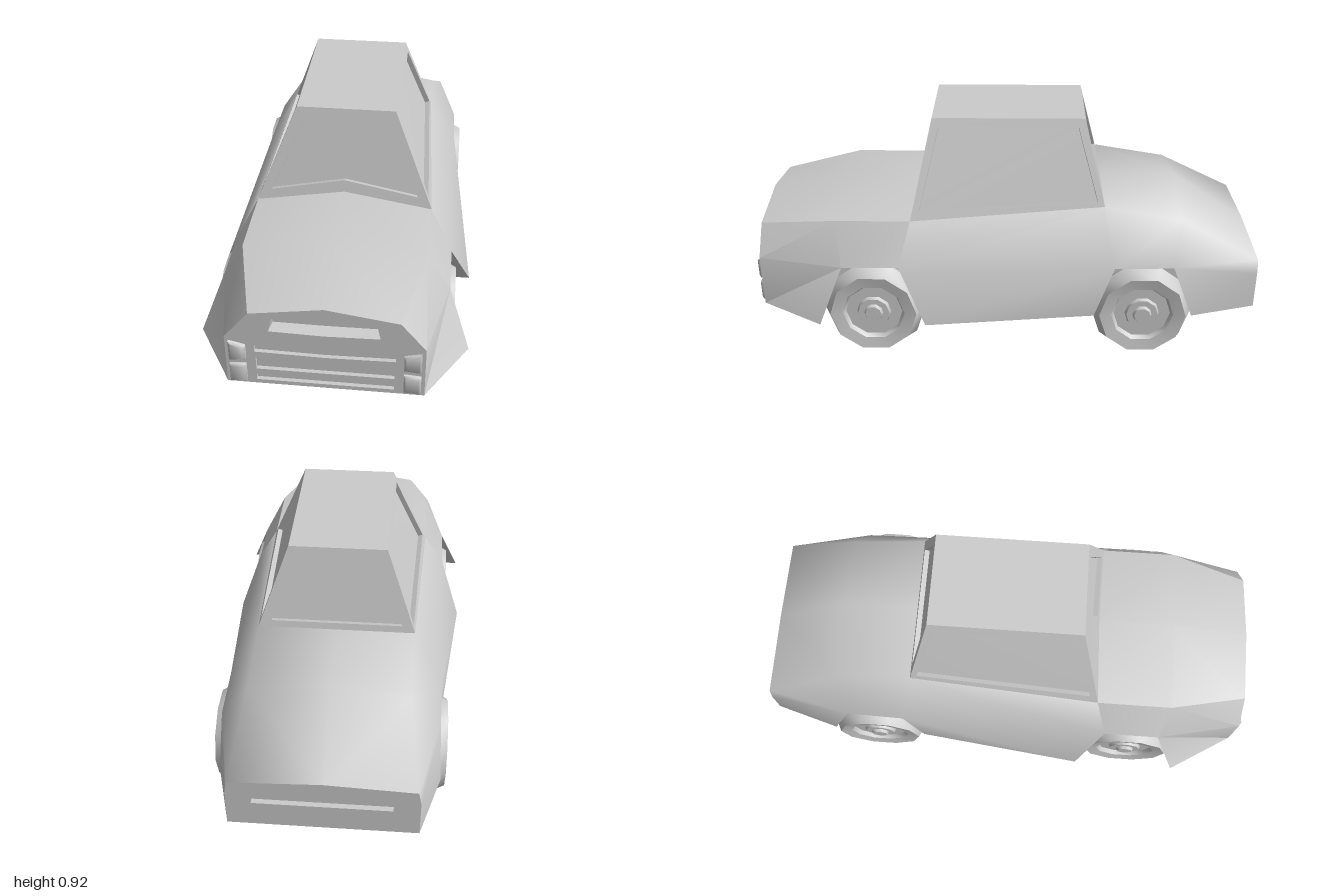
import * as THREE from 'three';
import { toCreasedNormals } from 'three/addons/utils/BufferGeometryUtils.js';

const material = new THREE.MeshStandardMaterial({ color: 0xcccccc, side: THREE.DoubleSide });
const V = (x, y, z) => new THREE.Vector3(x, y, z);

// Surface helpers: each returns a list of triangles, corners counter-clockwise
const fan = (p) => p.slice(2).map((c, i) => [p[0], p[i + 1], c]);
const ring = (a, b, skip = -1) => a.flatMap((p, i) => {
  const j = (i + 1) % a.length;
  return i === skip ? [] : fan([p, a[j], b[j], b[i]]);
});
const mirrored = (tris) => tris.map((t) => t.map((p) => V(-p.x, p.y, p.z)).reverse());
const both = (tris) => [...tris, ...mirrored(tris)];

function add(parent, name, geometry) {
  const mesh = new THREE.Mesh(geometry, material);
  mesh.name = name;
  parent.add(mesh);
  return mesh;
}

function addSurface(parent, name, tris, crease = 0.5) {
  const geometry = new THREE.BufferGeometry().setFromPoints(tris.flat());
  return add(parent, name, toCreasedNormals(geometry, crease));
}

// Body stations from nose to tail: sill, waist, shoulder, centre line
const stations = [
  [V(0.348, 0.18, 0.985), V(0.348, 0.39, 0.985), V(0.26, 0.5, 0.985), V(0, 0.54, 0.985)],
  [V(0.5, 0.18, 0.735), V(0.42, 0.39, 0.65), V(0.335, 0.55, 0.68), V(0, 0.6, 0.68)],
  [V(0.5, 0.18, 0.325), V(0.42, 0.39, 0.43), V(0.335, 0.55, 0.385), V(0, 0.6, 0.374)],
  [V(0.425, 0.18, -0.335), V(0.415, 0.39, -0.41), V(0.3, 0.6, -0.37), V(0, 0.6, -0.37)],
  [V(0.42, 0.18, -0.72), V(0.41, 0.39, -0.64), V(0.3, 0.55, -0.67), V(0, 0.6, -0.68)],
  [V(0.345, 0.18, -0.98), V(0.345, 0.33, -0.98), V(0.335, 0.385, -0.98), V(0, 0.4, -0.98)],
];
const archSpans = [1, 3];
const wellX = 0.31;
const inward = (p) => V(wellX, p.y, p.z);

function bodySides(from, to) {
  const tris = [];
  for (let i = from; i < to; i++) {
    const [a, b] = [stations[i], stations[i + 1]];
    for (let r = archSpans.includes(i) ? 1 : 0; r < 3; r++) {
      tris.push(...fan([a[r], b[r], b[r + 1], a[r + 1]]));
    }
  }
  return both(tris);
}

function addBody(car) {
  addSurface(car, 'frontBody', bodySides(0, 2));
  addSurface(car, 'rearBody', bodySides(2, 5), 1.3);

  const tail = stations[5];
  addSurface(car, 'tailPanel', both(fan([tail[3], tail[2], tail[1], tail[0], V(0, 0.18, -0.98)])));

  // Wheel wells
  const wells = archSpans.flatMap((i) => {
    const [a, b] = [stations[i], stations[i + 1]];
    const opening = [a[0], b[0], b[1], a[1]];
    const inner = opening.map(inward);
    return [...ring(opening, inner, 0), ...fan(inner)];
  });
  addSurface(car, 'wheelWells', both(wells));

  // Floor, notched at the wheels
  const edge = stations.flatMap((s, i) => {
    if (archSpans.includes(i)) return [s[0], inward(s[0])];
    return archSpans.includes(i - 1) ? [inward(s[0]), s[0]] : [s[0]];
  });
  const floor = [];
  for (let i = 0; i < edge.length - 1; i++) {
    const [p, q] = [edge[i], edge[i + 1]];
    if (p.z > q.z) floor.push(...fan([V(0, 0.18, p.z), V(0, 0.18, q.z), q, p]));
  }
  addSurface(car, 'floor', both(floor));
}

// Nose panel with sunken air intake and grille slots
function addNose(car) {
  const z = 0.985;
  const half = stations[0];
  const outline = [half[0], half[1], half[2], half[3], V(-0.26, 0.5, z), V(-0.348, 0.39, z), V(-0.348, 0.18, z)];
  const shape = new THREE.Shape(outline.map((p) => new THREE.Vector2(p.x, p.y)));
  const slot = (w, y0, y1, sag, depth) => {
    const mouth = [V(0, y0 - sag, z), V(w, y0, z), V(w, y1, z), V(0, y1 - sag, z), V(-w, y1, z), V(-w, y0, z)];
    return [mouth, mouth.map((p) => V(p.x, p.y, z - depth))];
  };
  const intake = [
    [V(0, 0.422, z), V(0.192, 0.427, z), V(0.18, 0.483, z), V(-0.18, 0.483, z), V(-0.192, 0.427, z)],
    [V(0, 0.434, z - 0.04), V(0.183, 0.436, z - 0.04), V(0.174, 0.471, z - 0.04),
      V(-0.174, 0.471, z - 0.04), V(-0.183, 0.436, z - 0.04)],
  ];
  const sockets = [intake, slot(0.245, 0.328, 0.356, 0.005, 0.015),
    slot(0.242, 0.248, 0.301, 0, 0.015), slot(0.242, 0.197, 0.223, 0, 0.015)];
  for (const [mouth] of sockets) {
    shape.holes.push(new THREE.Path(mouth.map((p) => new THREE.Vector2(p.x, p.y))));
  }
  add(car, 'nosePanel', new THREE.ShapeGeometry(shape).translate(0, 0, z));
  addSurface(car, 'grille', sockets.flatMap(([a, b]) => [...ring(a, b), ...fan(b)]));

  // Paired headlights with sloped lenses
  const lamps = [
    [[0.275, 0.297], [0.335, 0.29], [0.335, 0.375], [0.275, 0.36]],
    [[0.275, 0.195], [0.335, 0.19], [0.335, 0.27], [0.275, 0.275]],
  ];
  lamps.forEach((corners, i) => {
    const base = corners.map(([x, y]) => V(x, y, 0.98));
    const rim = corners.map(([x, y]) => V(x, y, 0.993));
    const lens = corners.map(([x, y], k) => V(x + (k % 3 ? -0.008 : 0.008), y + (k < 2 ? 0.008 : -0.008), 1));
    const tris = both([...ring(base, rim), ...ring(rim, lens), ...fan(lens)]);
    addSurface(car, i ? 'lowerHeadlights' : 'upperHeadlights', tris, 1.2);
  });
}

// Cabin wall: frame around a recessed window; corners go bl, br, tr, tl
function wall([bl, br, tr, tl], outerUV, windowUV) {
  const at = ([u, v]) => bl.clone().lerp(br, u).lerp(tl.clone().lerp(tr, u), v);
  const depth = br.clone().sub(bl).cross(tl.clone().sub(bl)).normalize().multiplyScalar(-0.02);
  const outer = outerUV.map(at);
  const rim = windowUV.map(at);
  const glass = rim.map((p) => p.clone().add(depth));
  return { frame: [...ring(outer, rim), ...ring(rim, glass)], glass: fan(glass) };
}

function addCabin(car) {
  const flip = (p) => V(-p.x, p.y, p.z);
  const frontBase = stations[2][2], rearBase = stations[3][2];
  const frontTop = V(0.185, 0.92, 0.3), rearTop = V(0.185, 0.92, -0.29);
  const square = [[0, 0], [1, 0], [1, 1], [0, 1]];
  const front = wall([flip(frontBase), frontBase, frontTop, flip(frontTop)],
    [[0.5, 0.135], [1, 0], [1, 1], [0, 1], [0, 0]],
    [[0.5, 0.257], [0.942, 0.12], [0.88, 0.88], [0.12, 0.88], [0.058, 0.12]]);
  const rear = wall([rearBase, flip(rearBase), flip(rearTop), rearTop], square,
    [[0.07, 0.08], [0.93, 0.08], [0.89, 0.89], [0.11, 0.89]]);
  const side = wall([frontBase, rearBase, rearTop, frontTop], square,
    [[0.036, 0.09], [0.97, 0.06], [0.947, 0.905], [0.055, 0.905]]);
  const cabin = new THREE.Group();
  cabin.name = 'cabin';
  car.add(cabin);
  addSurface(cabin, 'windowFrames', [...front.frame, ...rear.frame, ...both(side.frame)], 0.3);
  addSurface(cabin, 'windshield', front.glass);
  addSurface(cabin, 'rearWindow', rear.glass);
  addSurface(cabin, 'sideWindows', both(side.glass));
  addSurface(cabin, 'roof', fan([frontTop, rearTop, flip(rearTop), flip(frontTop)]));
}

// Ten-sided wheel with stepped hubs on both faces
function wheelGeometry() {
  const outerHalf = [[0.17, 0.06], [0.122, 0.052], [0.112, 0.035], [0.068, 0.035],
    [0.062, 0.048], [0.038, 0.048], [0.032, 0.06], [0, 0.06]];
  const profile = [...outerHalf.map(([r, h]) => [r, -h]).reverse(), [0.2, 0], ...outerHalf];
  const lathe = new THREE.LatheGeometry(profile.map(([r, h]) => new THREE.Vector2(r, h)), 10);
  return toCreasedNormals(lathe.rotateZ(-Math.PI / 2), 0.7);
}

export function createModel() {
  const car = new THREE.Group();
  car.name = 'car';
  addBody(car);
  addNose(car);
  addCabin(car);

  add(car, 'rearPlate', new THREE.BoxGeometry(0.5, 0.09, 0.03).translate(0, 0.265, -0.985));

  const wheel = wheelGeometry();
  for (const [end, z] of [['front', 0.535], ['rear', -0.525]]) {
    for (const [hand, x] of [['Left', 0.38], ['Right', -0.38]]) {
      add(car, `${end}${hand}Wheel`, wheel).position.set(x, 0.19, z);
    }
  }
  return car;
}
